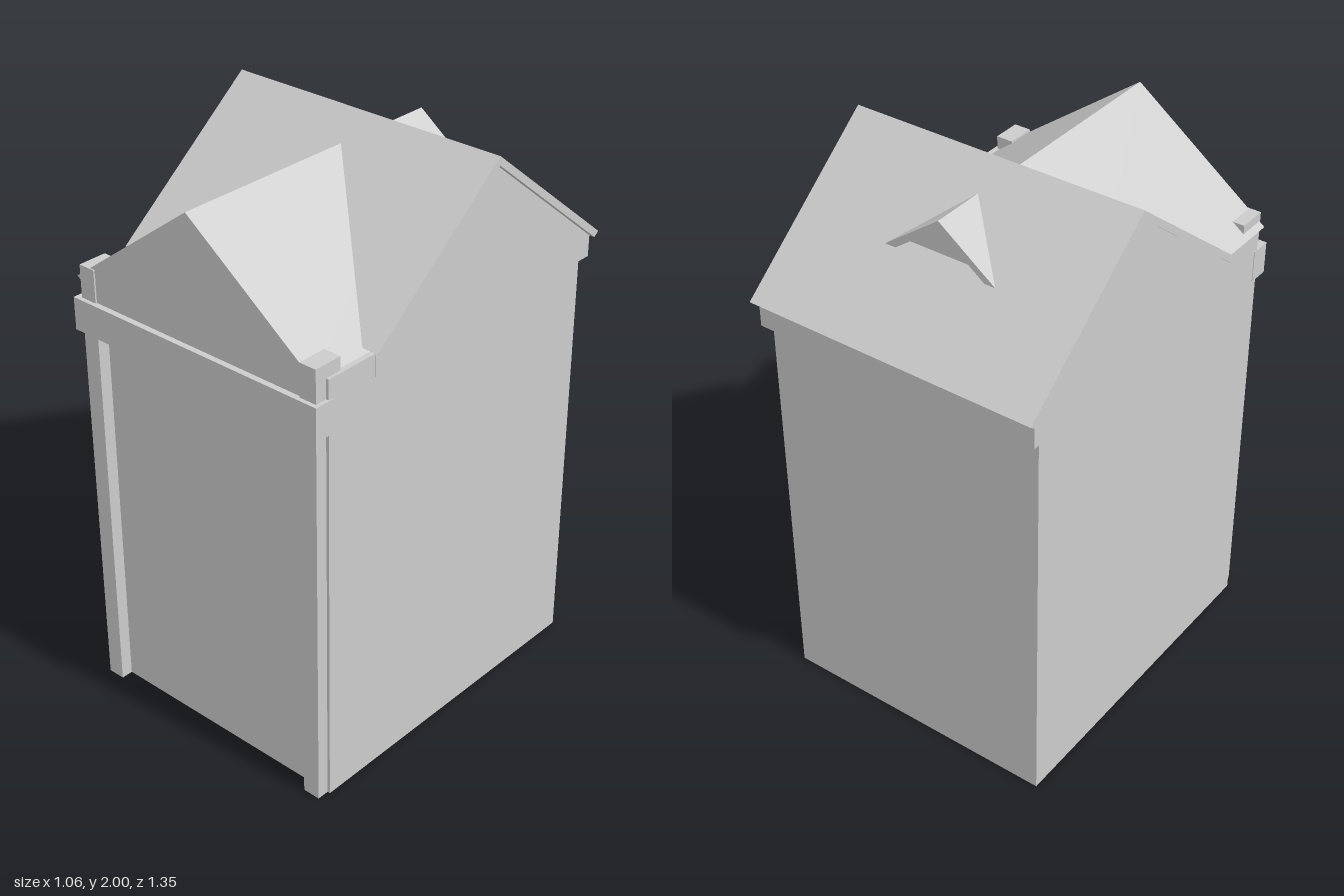
import * as THREE from 'three';

export function createModel() {
  const model = new THREE.Group();
  const grey = new THREE.MeshStandardMaterial({
    color: 0xcccccc, flatShading: true, side: THREE.DoubleSide,
  });

  const add = (name, geometry) => {
    const mesh = new THREE.Mesh(geometry, grey);
    mesh.name = name;
    model.add(mesh);
    return mesh;
  };

  // Box given by its limits; an open box has no underside
  const box = (name, [x0, x1], [y0, y1], [z0, z1], open = false) => {
    const geometry = new THREE.BoxGeometry(x1 - x0, y1 - y0, z1 - z0);
    if (open) {
      const index = Array.from(geometry.index.array);
      index.splice(18, 6);
      geometry.setIndex(index);
      geometry.clearGroups();
    }
    geometry.translate((x0 + x1) / 2, (y0 + y1) / 2, (z0 + z1) / 2);
    return add(name, geometry);
  };

  const extrude = (points, depth) => new THREE.ExtrudeGeometry(
    new THREE.Shape(points.map(([u, v]) => new THREE.Vector2(u, v))),
    { depth, bevelEnabled: false },
  );

  // Profile in (x, y), running from z0 to z1
  const alongZ = (name, points, z0, z1) =>
    add(name, extrude(points, z1 - z0).translate(0, 0, z0));

  // Profile in (z, y), running from x0 to x1
  const alongX = (name, points, x0, x1) =>
    add(name, extrude(points, x1 - x0).rotateY(-Math.PI / 2).translate(x1, 0, 0));

  // Hollow walls, open at the ground
  box('walls', [-0.51, 0.51], [0, 1.548], [-0.6, 0.617], true);

  // Corner pilasters rising through the cornice
  for (const [name, x] of [['rightPilaster', -0.49], ['leftPilaster', 0.437]]) {
    box(name, [x, x + 0.063], [0, 1.595], [0.555, 0.66], true);
  }

  // Front cornice beam
  box('frontCornice', [-0.512, 0.514], [1.365, 1.48], [0.6, 0.675]);

  // Attic block with gable ends, overhanging the back and right walls
  alongX('attic', [
    [-0.65, 1.47], [0.415, 1.47], [0.415, 1.542], [-0.12, 1.972], [-0.65, 1.545],
  ], -0.53, 0.512);

  // Main roof, ridge across the house
  alongX('mainRoof', [
    [0.43, 1.56], [-0.12, 2], [-0.67, 1.56], [-0.65, 1.545], [-0.12, 1.97], [0.41, 1.545],
  ], -0.532, 0.532);

  // Front gable wall and its roof, which comes out through the back slope
  const cx = -0.01;
  alongZ('frontPediment', [
    [cx - 0.48, 1.47], [cx + 0.48, 1.47], [cx + 0.48, 1.54], [cx, 1.895], [cx - 0.48, 1.54],
  ], -0.385, 0.654);
  alongZ('frontGableRoof', [
    [cx - 0.5, 1.548], [cx - 0.48, 1.535], [cx, 1.89],
    [cx + 0.48, 1.535], [cx + 0.5, 1.548], [cx, 1.92],
  ], -0.412, 0.655);

  return model;
}
